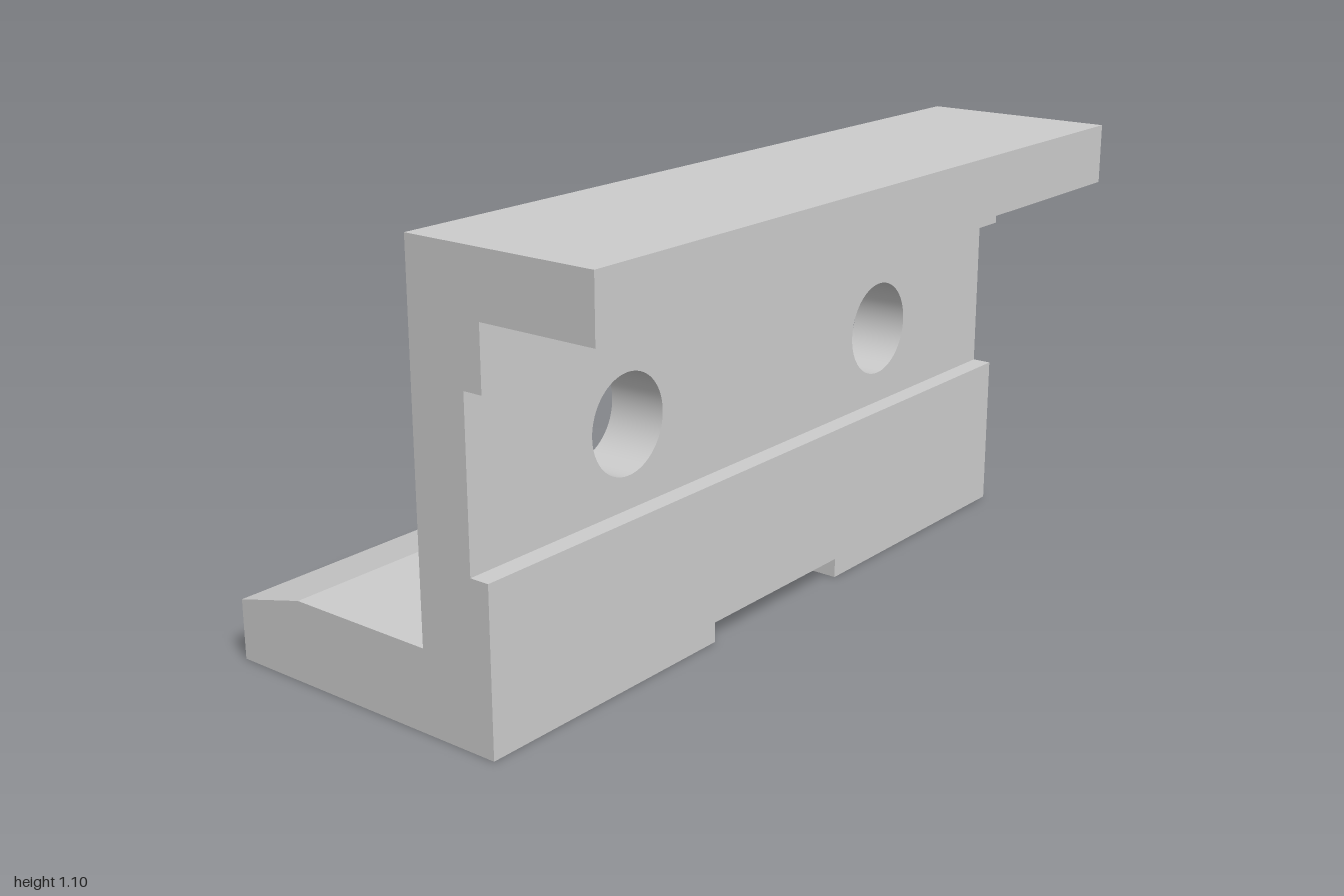
import * as THREE from 'three';
import { toCreasedNormals } from 'three/addons/utils/BufferGeometryUtils.js';

const LENGTH = 2;
const material = new THREE.MeshStandardMaterial({ color: 0xcccccc });

function add(group, name, geometry) {
  const mesh = new THREE.Mesh(geometry, material);
  mesh.name = name;
  group.add(mesh);
  return mesh;
}

// Extrudes an (x, y) cross-section along the full length of the bracket
function bar(points) {
  const shape = new THREE.Shape(points.map(([x, y]) => new THREE.Vector2(x, y)));
  return new THREE.ExtrudeGeometry(shape, { depth: LENGTH, bevelEnabled: false })
    .translate(0, 0, -LENGTH / 2);
}

// Upright plate with two round bolt holes through its thickness
function webPlate(x0, x1, y0, y1) {
  const h = LENGTH / 2;
  const shape = new THREE.Shape([
    new THREE.Vector2(-h, y0), new THREE.Vector2(h, y0),
    new THREE.Vector2(h, y1), new THREE.Vector2(-h, y1),
  ]);
  for (const z of [-0.5, 0.5]) {
    shape.holes.push(new THREE.Path().absarc(z, 0.6, 0.12, 0, Math.PI * 2, true));
  }
  const geometry = new THREE.ExtrudeGeometry(shape, {
    depth: x1 - x0, bevelEnabled: false, curveSegments: 32,
  });
  geometry.rotateY(Math.PI / 2).translate(x0, 0, 0);
  return toCreasedNormals(geometry, Math.PI / 6);
}

export function createModel() {
  const group = new THREE.Group();
  group.name = 'mountingBracket';

  // Foot with sloped toe and the lower rail of the groove
  add(group, 'foot', bar([
    [-0.55, 0.05], [0.25, 0.05], [0.25, 0.4], [0.2, 0.4],
    [0.2, 0.2], [-0.35, 0.2], [-0.55, 0.15],
  ]));

  // Two pads under the foot, leaving a shallow channel between them
  for (const side of [-1, 1]) {
    const pad = add(group, side > 0 ? 'frontPad' : 'backPad', new THREE.BoxGeometry(0.8, 0.05, 0.75));
    pad.position.set(-0.15, 0.025, side * 0.625);
  }

  // Drilled upright web
  add(group, 'web', webPlate(0.05, 0.2, 0.2, 0.95));

  // Top flange with the upper rail of the groove
  add(group, 'topFlange', bar([
    [0.05, 0.95], [0.2, 0.95], [0.2, 0.8], [0.25, 0.8],
    [0.25, 0.95], [0.55, 0.95], [0.55, 1.1], [0.05, 1.1],
  ]));

  return group;
}
